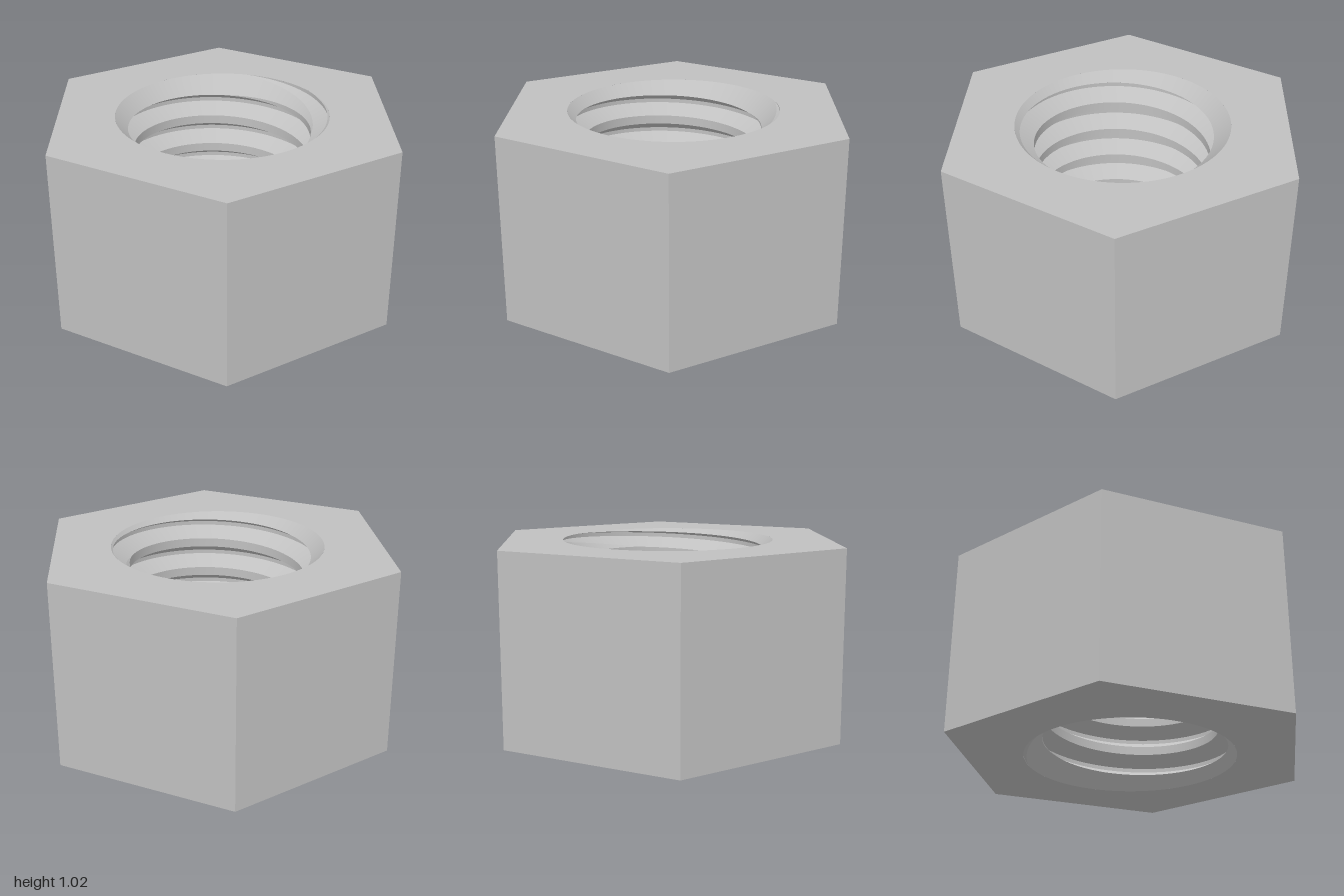
import * as THREE from 'three';
import { toCreasedNormals } from 'three/addons/utils/BufferGeometryUtils.js';

const HEIGHT = 1.02;
const MINOR = 0.47;      // radius at thread crests
const MAJOR = 0.565;     // radius at thread roots and at the chamfer rim
const PITCH = 0.177;
const ROOT = 0.022, FLANK = 0.053; // axial widths of the root flat and each flank
const SEGMENTS = 144;

const clamp = THREE.MathUtils.clamp;

// One pitch of the thread, downwards from the top of the root: [depth, radius]
const PROFILE = [
  [0, MAJOR],
  [ROOT, MAJOR],
  [ROOT + FLANK, MINOR],
  [PITCH - FLANK, MINOR],
  [PITCH, MAJOR],
];

// 45 degree countersinks at both ends
const topCone = (y) => MAJOR - (HEIGHT - y);
const bottomCone = (y) => MAJOR - y;

// Cross-section of one helical strip, split where it meets the countersinks
function stripSection(lower, upper, offset) {
  const y0 = offset - lower[0], y1 = offset - upper[0];
  const slope = (upper[1] - lower[1]) / (y1 - y0);
  const thread = (y) => lower[1] + slope * (y - y0);
  const a = clamp(y0, 0, HEIGHT), b = clamp(y1, 0, HEIGHT);
  const meetTop = y0 + (topCone(y0) - lower[1]) / (slope - 1);
  const meetBottom = y0 + (bottomCone(y0) - lower[1]) / (slope + 1);
  const ys = [a, clamp(meetTop, a, b), clamp(meetBottom, a, b), b].sort((p, q) => p - q);
  return ys.map((y) => [Math.max(thread(y), topCone(y), bottomCone(y)), y]);
}

// Threaded bore: helical strips swept round the axis, facing inwards
function boreGeometry() {
  const positions = [];
  const tri = new THREE.Triangle();
  const addTriangle = (a, b, c) => {
    if (tri.set(a, b, c).getArea() < 1e-9) return;
    for (const p of [a, b, c]) positions.push(p.x, p.y, p.z);
  };
  const turns = Math.ceil(HEIGHT / PITCH) + 1;
  for (let turn = -1; turn <= turns; turn++) {
    for (let s = 0; s < PROFILE.length - 1; s++) {
      let previous = null;
      for (let i = 0; i <= SEGMENTS; i++) {
        const angle = ((i % SEGMENTS) / SEGMENTS) * Math.PI * 2;
        const offset = HEIGHT - PITCH * (turn + i / SEGMENTS);
        const column = stripSection(PROFILE[s + 1], PROFILE[s], offset).map(
          ([r, y]) => new THREE.Vector3(r * Math.cos(angle), y, r * Math.sin(angle)));
        if (previous) {
          for (let j = 0; j < column.length - 1; j++) {
            addTriangle(previous[j], column[j], column[j + 1]);
            addTriangle(previous[j], column[j + 1], previous[j + 1]);
          }
        }
        previous = column;
      }
    }
  }
  const geometry = new THREE.BufferGeometry();
  geometry.setAttribute('position', new THREE.Float32BufferAttribute(positions, 3));
  return toCreasedNormals(geometry, 0.2);
}

// Flat hexagonal end face with a round hole
function endFaceGeometry() {
  const shape = new THREE.Shape();
  for (let i = 0; i < 6; i++) {
    const a = (i * Math.PI) / 3;
    if (i === 0) shape.moveTo(1, 0);
    else shape.lineTo(Math.cos(a), Math.sin(a));
  }
  shape.closePath();
  shape.holes.push(new THREE.Path().absarc(0, 0, MAJOR, 0, Math.PI * 2, true));
  return new THREE.ShapeGeometry(shape, SEGMENTS);
}

export function createModel() {
  const group = new THREE.Group();
  group.name = 'hexNut';
  const steel = new THREE.MeshStandardMaterial({ color: 0xc0c0c0 });
  steel.name = 'steel';

  const add = (name, geometry) => {
    const mesh = new THREE.Mesh(geometry, steel);
    mesh.name = name;
    group.add(mesh);
    return mesh;
  };

  // Six outer flats
  const flats = new THREE.CylinderGeometry(1, 1, HEIGHT, 6, 1, true, Math.PI / 2);
  add('outerFlats', toCreasedNormals(flats, 0.5)).position.y = HEIGHT / 2;

  // End faces
  add('topFace', endFaceGeometry().rotateX(-Math.PI / 2)).position.y = HEIGHT;
  add('bottomFace', endFaceGeometry().rotateX(Math.PI / 2));

  // Countersunk, right-hand threaded hole
  add('threadedBore', boreGeometry());

  return group;
}
